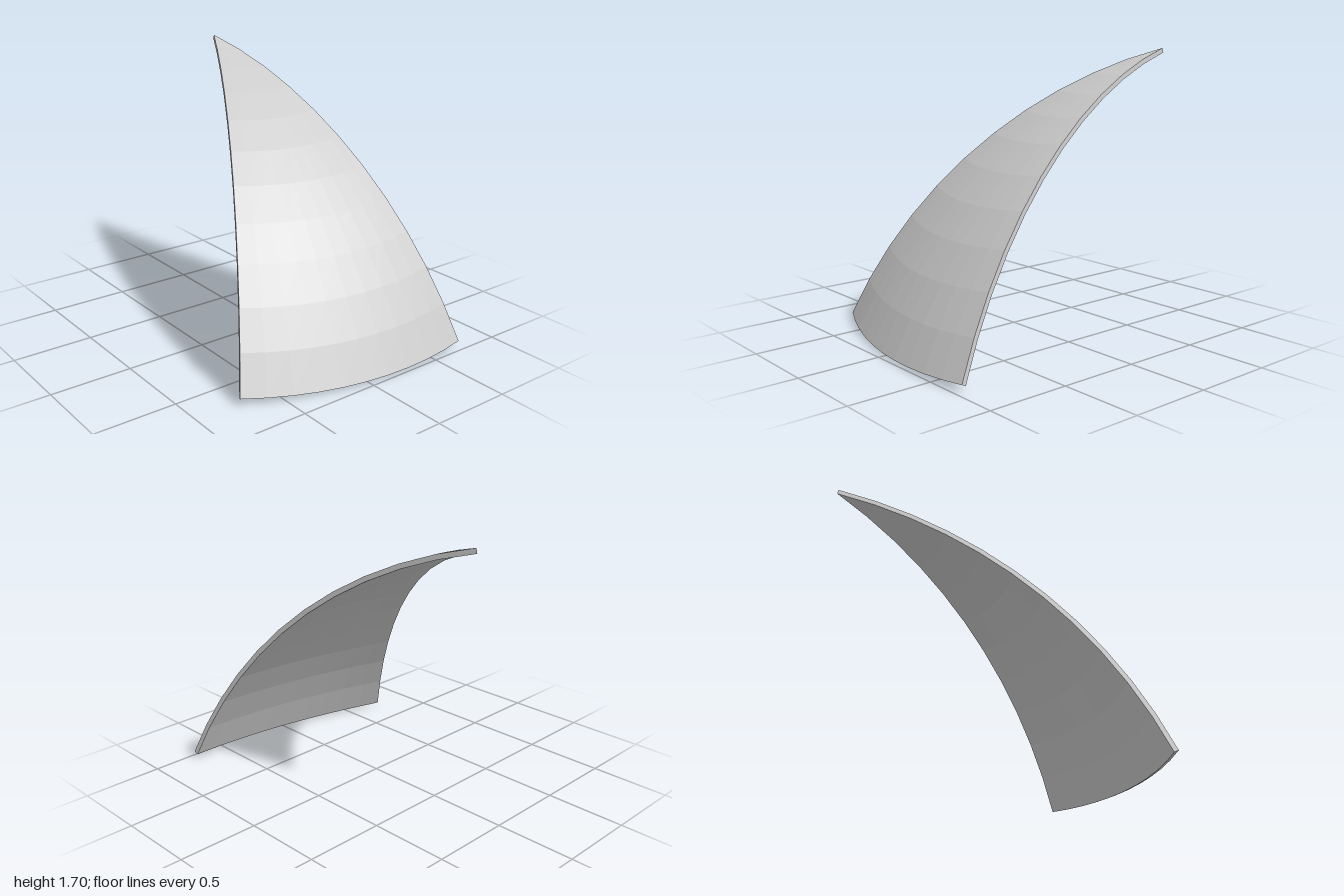
import * as THREE from 'three';

// Thick wedge of a sphere: two meridians meeting at a pole, closed by an arc of latitude
const CENTRE = new THREE.Vector3(0.424, -1.187, -1.73);
const POLE = new THREE.Vector3(-0.0416, 0.97, 0.245).normalize();
const RADIUS = 2.98, THICKNESS = 0.03;
const SPAN = THREE.MathUtils.degToRad(51.9);
const HEADING_RIGHT = THREE.MathUtils.degToRad(-28);
const HEADING_LEFT = THREE.MathUtils.degToRad(8.8);
const COLUMNS = 10, ROWS = 11;

export function createModel() {
  const forward = new THREE.Vector3(0, 0, 1).projectOnPlane(POLE).normalize();
  const side = new THREE.Vector3().crossVectors(POLE, forward);

  // Bend a subdivided box: x becomes heading, y the angle from the pole, z the radius
  const geometry = new THREE.BoxGeometry(1, 1, 1, COLUMNS, ROWS, 1);
  const position = geometry.attributes.position;
  const point = new THREE.Vector3();
  for (let i = 0; i < position.count; i++) {
    const heading = THREE.MathUtils.lerp(HEADING_RIGHT, HEADING_LEFT, position.getX(i) + 0.5);
    const angle = SPAN * (0.5 - position.getY(i));
    const radius = RADIUS - THICKNESS * (0.5 - position.getZ(i));
    point.copy(CENTRE)
      .addScaledVector(POLE, radius * Math.cos(angle))
      .addScaledVector(forward, radius * Math.sin(angle) * Math.cos(heading))
      .addScaledVector(side, radius * Math.sin(angle) * Math.sin(heading));
    position.setXYZ(i, point.x, point.y, point.z);
  }
  geometry.computeVertexNormals();

  const shell = new THREE.Mesh(
    geometry,
    new THREE.MeshStandardMaterial({ color: 0xcccccc, flatShading: true })
  );
  shell.name = 'curvedShell';

  const group = new THREE.Group();
  group.name = 'roofShell';
  group.add(shell);
  return group;
}
